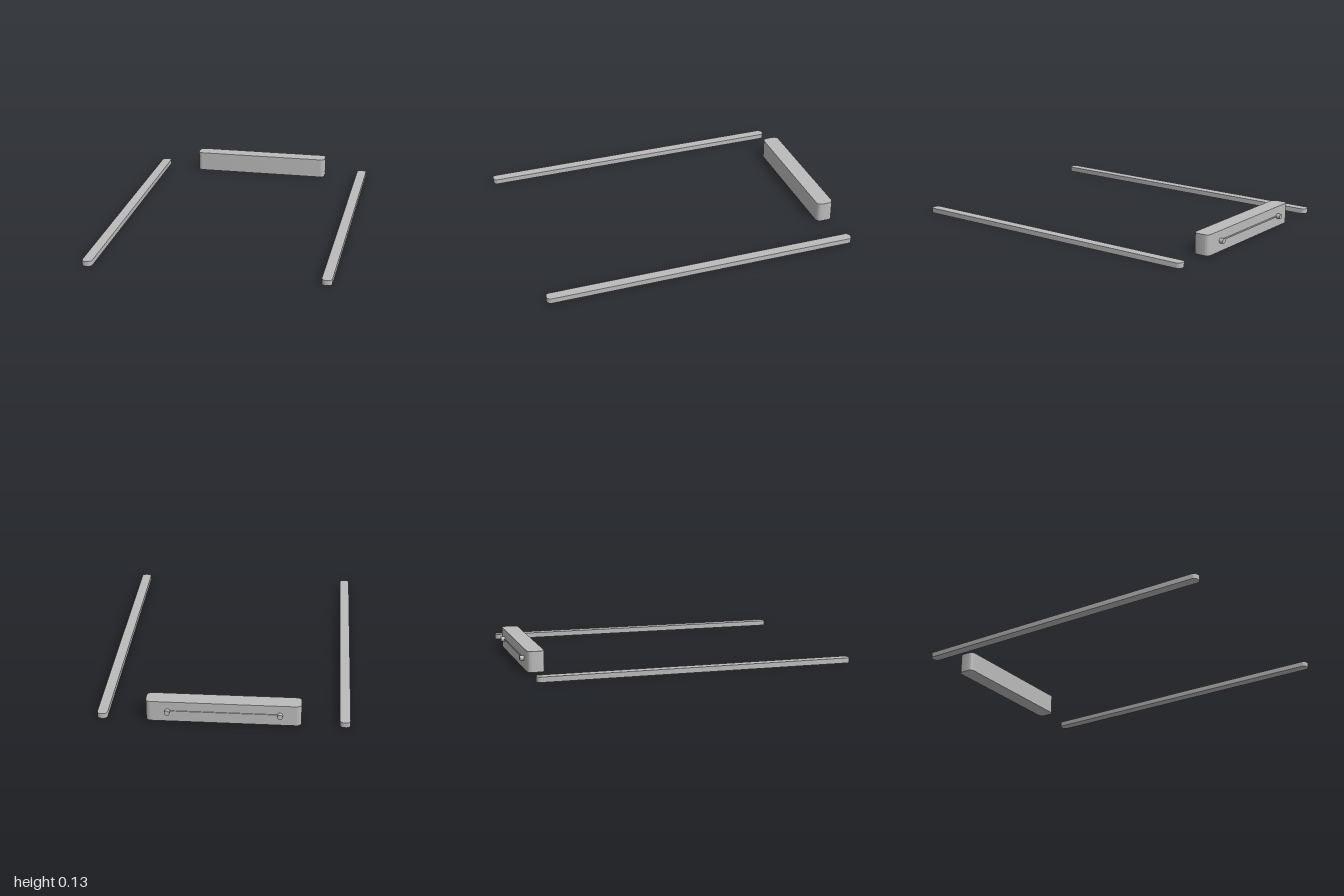
import * as THREE from 'three';
import { toCreasedNormals } from 'three/addons/utils/BufferGeometryUtils.js';

const concrete = new THREE.MeshStandardMaterial({ color: 0xbbbbbb });
concrete.name = 'grey concrete';

// Upright slab with rounded vertical corners, standing on y = 0
function roundedSlab(name, width, depth, height, r, x, z) {
  const w = width / 2, d = depth / 2;
  const s = new THREE.Shape();
  s.moveTo(-w + r, -d);
  s.lineTo(w - r, -d);
  s.absarc(w - r, -d + r, r, -Math.PI / 2, 0);
  s.lineTo(w, d - r);
  s.absarc(w - r, d - r, r, 0, Math.PI / 2);
  s.lineTo(-w + r, d);
  s.absarc(-w + r, d - r, r, Math.PI / 2, Math.PI);
  s.lineTo(-w, -d + r);
  s.absarc(-w + r, -d + r, r, Math.PI, Math.PI * 1.5);
  const geo = new THREE.ExtrudeGeometry(s, { depth: height, bevelEnabled: false, curveSegments: 6 });
  geo.rotateX(-Math.PI / 2);
  const mesh = new THREE.Mesh(toCreasedNormals(geo, 0.6), concrete);
  mesh.name = name;
  mesh.position.set(x, 0, z);
  return mesh;
}

export function createModel() {
  const model = new THREE.Group();
  model.name = 'parkingBay';

  // Wheel stop across the back
  model.add(roundedSlab('wheelStop', 0.916, 0.106, 0.128, 0.03, -0.002, -0.921));

  // Long side strips and the pegs behind the stop
  for (const side of [-1, 1]) {
    const label = side > 0 ? 'left' : 'right';
    model.add(roundedSlab(label + 'SideStrip', 0.062, 1.974, 0.032, 0.026, side * 0.716, 0.013));

    const peg = new THREE.Mesh(new THREE.CylinderGeometry(0.016, 0.016, 0.03, 16), concrete);
    peg.name = label + 'Peg';
    peg.rotation.x = Math.PI / 2;
    peg.position.set(side * 0.331 - 0.004, 0.067, -0.985);
    model.add(peg);
  }

  // Thin raised rib joining the pegs
  const rib = new THREE.Mesh(new THREE.BoxGeometry(0.64, 0.008, 0.008), concrete);
  rib.name = 'backRib';
  rib.position.set(-0.004, 0.067, -0.975);
  model.add(rib);

  return model;
}
